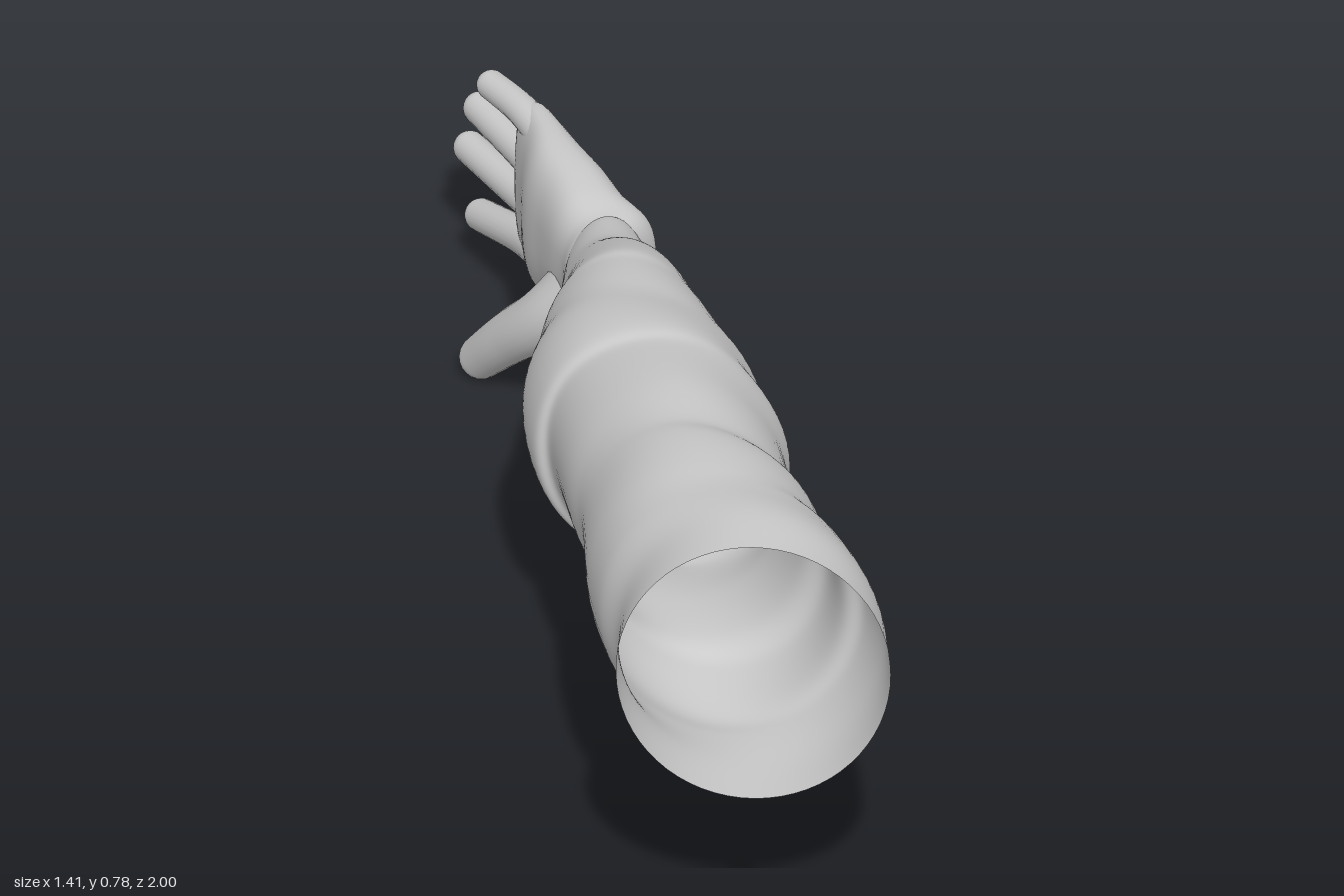
import * as THREE from 'three';
import { mergeVertices } from 'three/addons/utils/BufferGeometryUtils.js';

const material = new THREE.MeshStandardMaterial({ color: 0xcccccc, side: THREE.DoubleSide });

// Loft through sections [innerX, innerZ, outerX, outerZ, topY, bottomY].
function loft(sections, { steps, sides, power = 1, lean = 0, fold = () => 0, cap = false }) {
  const curve = (f) => new THREE.CatmullRomCurve3(sections.map(f), false, 'catmullrom', 0.5);
  const inner = curve((s) => new THREE.Vector3(s[0], 0, s[1]));
  const outer = curve((s) => new THREE.Vector3(s[2], 0, s[3]));
  const height = curve((s) => new THREE.Vector3(s[4], s[5], 0));
  const pos = [], index = [];
  const soft = (v) => Math.sign(v) * Math.abs(v) ** power;
  for (let i = 0; i <= steps; i++) {
    const t = i / steps;
    const a = inner.getPoint(t), b = outer.getPoint(t), h = height.getPoint(t);
    const mid = a.clone().add(b).multiplyScalar(0.5), half = b.clone().sub(a).multiplyScalar(0.5);
    const my = (h.x + h.y) / 2, hy = (h.x - h.y) / 2;
    for (let j = 0; j < sides; j++) {
      const ang = (j / sides) * Math.PI * 2, k = 1 + fold(t, ang);
      const c = soft(Math.cos(ang)) * k, s = soft(Math.sin(ang)) * k;
      pos.push(mid.x + half.x * c + lean * s, my + hy * s, mid.z + half.z * c - lean * s);
      if (i < steps) {
        const n = (j + 1) % sides, p = i * sides + j, q = i * sides + n;
        index.push(p, p + sides, q, q, p + sides, q + sides);
      }
    }
    if (cap && i === steps) {
      pos.push(mid.x, my, mid.z);
      for (let j = 0; j < sides; j++) {
        index.push(steps * sides + j, (steps + 1) * sides, steps * sides + ((j + 1) % sides));
      }
    }
  }
  const geo = new THREE.BufferGeometry();
  geo.setAttribute('position', new THREE.Float32BufferAttribute(pos, 3));
  geo.setIndex(index);
  geo.computeVertexNormals();
  return geo;
}

// Finger: a tube that tapers and rounds off at its tip.
function digit(points, r0, r1) {
  const path = new THREE.CatmullRomCurve3(points.map((p) => new THREE.Vector3(...p)));
  const rings = 40, sides = 20, length = path.getLength();
  let geo = new THREE.TubeGeometry(path, rings, 1, sides);
  const pos = geo.attributes.position, v = new THREE.Vector3();
  for (let i = 0; i <= rings; i++) {
    // closer rings towards the tip
    const t = 1 - (1 - i / rings) ** 1.6, centre = path.getPointAt(t), old = path.getPointAt(i / rings);
    const r = THREE.MathUtils.lerp(r0, r1, t), left = Math.min(1, ((1 - t) * length) / r1);
    const radius = Math.max(0.0004, r * Math.sqrt(1 - (1 - left) ** 2));
    for (let j = 0; j <= sides; j++) {
      const n = i * (sides + 1) + j;
      v.fromBufferAttribute(pos, n).sub(old).multiplyScalar(radius).add(centre);
      pos.setXYZ(n, v.x, v.y, v.z);
    }
  }
  geo.deleteAttribute('uv');
  geo.deleteAttribute('normal');
  geo = mergeVertices(geo, 1e-5);
  geo.computeVertexNormals();
  return geo;
}

export function createModel() {
  const group = new THREE.Group();
  const add = (name, geo, parent = group) => {
    const mesh = new THREE.Mesh(geo, material);
    mesh.name = name;
    parent.add(mesh);
  };

  // Loose sleeve, open at the shoulder and turned in at the cuff
  const sleeve = [
    [-0.71, 0.65, -0.40, 1.00, 0.78, 0.31],
    [-0.62, 0.57, -0.32, 0.91, 0.775, 0.30],
    [-0.57, 0.48, -0.26, 0.81, 0.76, 0.29],
    [-0.50, 0.39, -0.25, 0.75, 0.75, 0.28],
    [-0.41, 0.30, -0.18, 0.65, 0.735, 0.29],
    [-0.36, 0.24, -0.155, 0.57, 0.72, 0.31],
    [-0.31, 0.17, -0.05, 0.44, 0.705, 0.295],
    [-0.21, 0.03, 0.03, 0.36, 0.69, 0.27],
    [-0.195, -0.02, 0.07, 0.29, 0.685, 0.255],
    [-0.10, -0.13, 0.13, 0.22, 0.66, 0.24],
    [-0.01, -0.19, 0.16, 0.14, 0.64, 0.25],
    [0.06, -0.23, 0.22, 0.04, 0.615, 0.265],
    [0.10, -0.25, 0.25, -0.03, 0.605, 0.26],
    [0.20, -0.32, 0.31, -0.11, 0.55, 0.25],
    [0.25, -0.37, 0.36, -0.22, 0.495, 0.235],
    [0.31, -0.42, 0.44, -0.34, 0.46, 0.222],
    [0.318, -0.422, 0.44, -0.352, 0.45, 0.23],
    [0.32, -0.40, 0.42, -0.34, 0.435, 0.245],
  ];
  // Shallow diagonal cloth folds, fading at both ends
  const folds = (t, a) => {
    const fade = Math.sin(Math.PI * Math.min(1, t * 1.12)) * (t < 0.89 ? 1 : 0);
    return fade * (0.016 * Math.sin(44 * t + 2.2 * Math.cos(a + 0.6))
      + 0.012 * Math.sin(27 * t + 3 * a) * Math.cos(2 * a - 9 * t));
  };
  add('sleeve', loft(sleeve, { steps: 170, sides: 64, lean: 0.022, fold: folds }));

  const hand = new THREE.Group();
  hand.name = 'hand';
  group.add(hand);

  // Wrist and palm, flattening towards the knuckles
  const palm = [
    [0.30, -0.39, 0.41, -0.31, 0.43, 0.245],
    [0.325, -0.43, 0.45, -0.355, 0.445, 0.235],
    [0.355, -0.465, 0.505, -0.385, 0.448, 0.238],
    [0.385, -0.52, 0.52, -0.45, 0.455, 0.215],
    [0.42, -0.58, 0.555, -0.53, 0.458, 0.185],
    [0.46, -0.65, 0.585, -0.61, 0.456, 0.15],
    [0.52, -0.715, 0.61, -0.68, 0.45, 0.13],
    [0.562, -0.765, 0.627, -0.735, 0.442, 0.132],
    [0.585, -0.785, 0.618, -0.77, 0.425, 0.155],
  ];
  add('palm', loft(palm, { steps: 64, sides: 48, power: 0.8, cap: true }), hand);

  // Four fingers from top to bottom, then the thumb
  const fingers = [
    ['littleFinger', [0.55, 0.412, -0.67], [0.596, 0.414, -0.78], [0.632, 0.405, -0.902], 0.027],
    ['ringFinger', [0.56, 0.325, -0.67], [0.605, 0.32, -0.78], [0.673, 0.312, -0.967], 0.030],
    ['middleFinger', [0.56, 0.25, -0.67], [0.605, 0.233, -0.78], [0.684, 0.21, -1.0], 0.030],
    ['indexFinger', [0.53, 0.195, -0.65], [0.588, 0.162, -0.76], [0.662, 0.098, -0.952], 0.030],
  ];
  for (const [name, root, knuckle, tip, r] of fingers) {
    add(name, digit([root, knuckle, tip], r * 1.1, r * 0.95), hand);
  }
  add('thumb', digit([[0.43, 0.30, -0.46], [0.395, 0.205, -0.53], [0.398, 0.115, -0.625],
    [0.415, 0.008, -0.728]], 0.062, 0.036), hand);
  return group;
}
